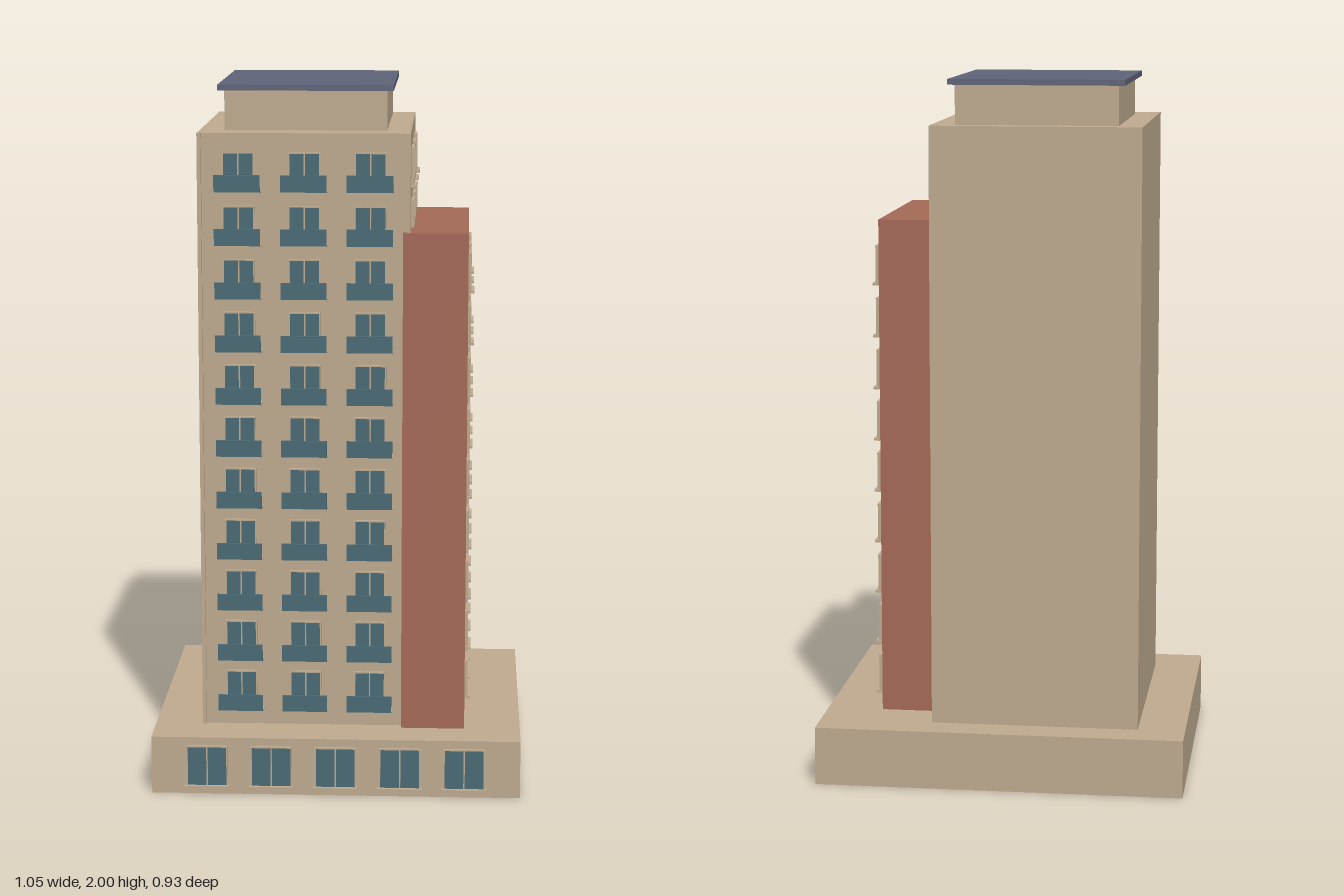
import * as THREE from 'three';

const mat = (name, color) => {
  const m = new THREE.MeshStandardMaterial({ color });
  m.name = name;
  return m;
};

export function createModel() {
  const stone = mat('beige stone', 0xbfab8f);
  const brick = mat('red brick', 0xa56a58);
  const slate = mat('slate roof', 0x5f6479);
  const glass = mat('teal glass', 0x4a6a75);

  const model = new THREE.Group();
  model.name = 'apartmentTower';

  // Box given by its lower and upper corners
  const box = (parent, name, material, x0, x1, y0, y1, z0, z1) => {
    const mesh = new THREE.Mesh(new THREE.BoxGeometry(x1 - x0, y1 - y0, z1 - z0), material);
    mesh.position.set((x0 + x1) / 2, (y0 + y1) / 2, (z0 + z1) / 2);
    mesh.name = name;
    parent.add(mesh);
    return mesh;
  };

  // Window facing +z, origin at the bottom centre of the wall opening
  const makeWindow = (name, w, h) => {
    const g = new THREE.Group();
    g.name = name;
    const a = w / 2, t = 0.004;
    box(g, 'pane', glass, -a + t, a - t, 0, h - t, 0, 0.006);
    for (const s of [-1, 1]) {
      const x = s * (a - t / 2);
      box(g, 'frameSide', stone, x - t / 2, x + t / 2, 0, h, 0, 0.009);
    }
    box(g, 'frameTop', stone, -a, a, h - t, h, 0, 0.009);
    box(g, 'mullion', stone, -0.002, 0.002, 0, h, 0, 0.009);
    box(g, 'sill', stone, -a - 0.005, a + 0.005, -0.005, 0.002, 0, 0.017);
    return g;
  };

  const place = (g, x, y, z, turn = 0) => {
    g.position.set(x, y, z);
    g.rotation.y = turn;
    model.add(g);
  };

  // Main masses
  box(model, 'podium', stone, -0.525, 0.525, 0, 0.167, -0.467, 0.446);
  box(model, 'tower', stone, -0.39, 0.202, 0.167, 1.873, -0.373, 0.311);
  box(model, 'sideWing', brick, 0.183, 0.365, 0.167, 1.6, -0.26, 0.333);
  box(model, 'penthouse', stone, -0.321, 0.135, 1.873, 1.985, -0.327, 0.219);
  box(model, 'roofSlab', slate, -0.339, 0.153, 1.984, 2, -0.345, 0.236);

  // Corner strips on the tower front
  for (const x of [-0.39, 0.192]) {
    box(model, 'cornerStrip', stone, x, x + 0.011, 0.167, 1.873, 0.305, 0.322);
  }

  // Shop windows in the podium
  for (let i = -2; i <= 2; i++) {
    place(makeWindow('podiumWindow', 0.118, 0.119), i * 0.183, 0.025, 0.446);
  }

  // Eleven storeys of windows and balconies
  for (let floor = 0; floor < 11; floor++) {
    const y = 0.227 + floor * 0.1493;

    for (const x of [-0.276, -0.092, 0.092]) {
      place(makeWindow('frontWindow', 0.09, 0.101), x, y, 0.311);
      const balcony = new THREE.Group();
      balcony.name = 'balcony';
      box(balcony, 'balconySlab', stone, -0.064, 0.064, -0.011, -0.005, 0, 0.056);
      box(balcony, 'balconyPanel', glass, -0.064, 0.064, -0.005, 0.042, 0.05, 0.056);
      place(balcony, x, y, 0.311);
    }

    // The top two storeys rise above the wing, so their windows sit on the tower
    const wallX = floor < 9 ? 0.365 : 0.202;
    for (const z of [0.16, -0.028, -0.216]) {
      place(makeWindow('sideWindow', 0.09, 0.108), wallX, y - 0.003, z, Math.PI / 2);
    }
  }

  return model;
}
